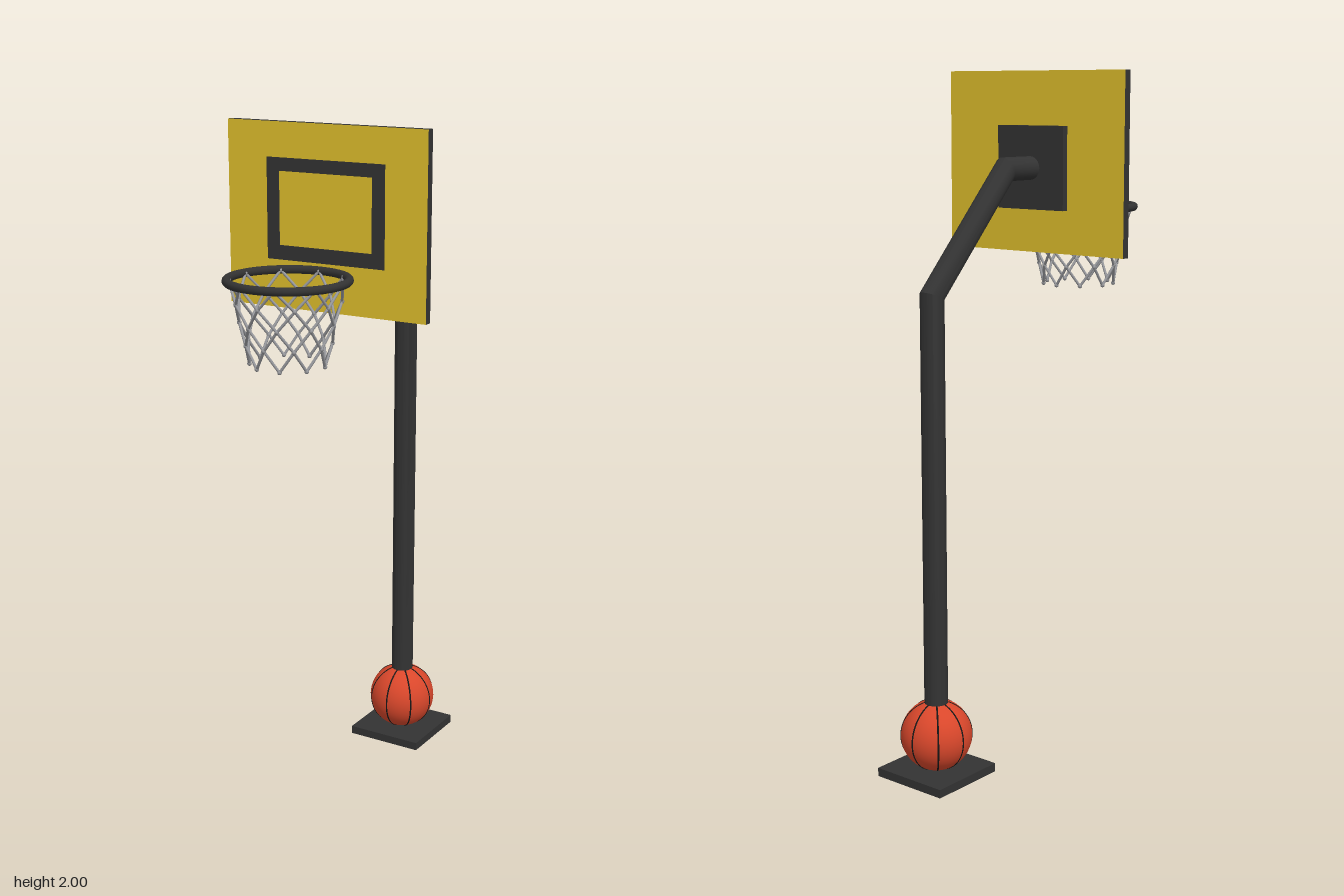
import * as THREE from 'three';
import { toCreasedNormals } from 'three/addons/utils/BufferGeometryUtils.js';

const mat = (color) => new THREE.MeshStandardMaterial({ color });

export function createModel() {
  const model = new THREE.Group();
  const dark = mat(0x333333), black = mat(0x161616), yellow = mat(0xe0c02c);
  const orange = mat(0xd9472b), cord = mat(0x999a9e);

  const add = (name, geometry, material, x = 0, y = 0, z = 0, parent = model) => {
    const mesh = new THREE.Mesh(geometry, material);
    mesh.name = name;
    mesh.position.set(x, y, z);
    parent.add(mesh);
    return mesh;
  };
  const box = (w, h, d) => new THREE.BoxGeometry(w, h, d);

  // Square foot
  add('basePlate', box(0.24, 0.025, 0.24), dark, 0, 0.0125, -0.36);

  // Ball around the foot of the pole, with four seams through its poles
  const ball = new THREE.Group();
  ball.name = 'ball';
  ball.position.set(0, 0.122, -0.36);
  model.add(ball);
  add('ballSkin', new THREE.SphereGeometry(0.103, 40, 28), orange, 0, 0, 0, ball);
  for (let i = 0; i < 4; i++) {
    const seam = add('ballSeam', new THREE.TorusGeometry(0.1015, 0.003, 8, 64), black, 0, 0, 0, ball);
    seam.rotation.y = (i * Math.PI) / 4;
  }

  // Bent pole: a cylinder whose rings are moved onto a path with mitred bends
  const path = [[0.02, -0.36], [1.392, -0.36], [1.724, -0.045], [1.724, 0.07]]; // [y, z]
  const dirs = path.slice(1).map((p, i) =>
    new THREE.Vector2(p[0] - path[i][0], p[1] - path[i][1]).normalize());
  const mitres = path.map((_, i) => {
    const a = dirs[Math.max(i - 1, 0)], b = dirs[Math.min(i, dirs.length - 1)];
    const t = a.clone().add(b).normalize();
    return new THREE.Vector2(-t.y, t.x).divideScalar(t.dot(a));
  });
  const pole = new THREE.CylinderGeometry(0.034, 0.034, 3, 24, 3);
  const pos = pole.attributes.position;
  for (let i = 0; i < pos.count; i++) {
    const row = Math.round(pos.getY(i) + 1.5), s = pos.getZ(i);
    pos.setXYZ(i, pos.getX(i), path[row][0] + mitres[row].x * s, path[row][1] + mitres[row].y * s);
  }
  add('pole', toCreasedNormals(pole, 0.5), dark);

  // Backboard: yellow faces, dark edges
  add('mountPlate', box(0.24, 0.24, 0.022), dark, 0, 1.725, 0.077);
  add('backboard', box(0.64, 0.52, 0.024), [dark, dark, dark, dark, yellow, yellow], 0, 1.74, 0.097);

  // Target frame on the board
  const frame = new THREE.Shape();
  frame.moveTo(-0.19, 1.617).lineTo(0.19, 1.617).lineTo(0.19, 1.902).lineTo(-0.19, 1.902).closePath();
  const opening = new THREE.Path();
  opening.moveTo(-0.15, 1.658).lineTo(-0.15, 1.865).lineTo(0.15, 1.865).lineTo(0.15, 1.658).closePath();
  frame.holes.push(opening);
  add('targetFrame', new THREE.ExtrudeGeometry(frame, { depth: 0.003, bevelEnabled: false }), dark, 0, 0, 0.108);

  // Hoop
  const hoop = new THREE.Group();
  hoop.name = 'hoop';
  hoop.position.set(0, 1.602, 0.3);
  model.add(hoop);
  add('rim', new THREE.TorusGeometry(0.166, 0.012, 12, 48), dark, 0, 0, 0, hoop).rotation.x = Math.PI / 2;

  // Net: diamonds of cord that narrow downwards, with a knot at each crossing
  const strands = 9, rows = 4;
  const knotAt = (row, k) => {
    const a = ((k + 0.5 + (row % 2) / 2) / strands) * Math.PI * 2;
    const r = 0.159 - (row / rows) * 0.052;
    return new THREE.Vector3(Math.sin(a) * r, -row * 0.0575, Math.cos(a) * r);
  };
  const knot = new THREE.SphereGeometry(0.0065, 8, 6);
  const up = new THREE.Vector3(0, 1, 0);
  for (let row = 0; row <= rows; row++) {
    for (let k = 0; k < strands; k++) {
      const p = knotAt(row, k);
      add('netKnot', knot, cord, p.x, p.y, p.z, hoop);
      if (row === rows) continue;
      const first = row % 2 ? k : k - 1;
      for (const next of [first, first + 1]) {
        const q = knotAt(row + 1, next), d = q.clone().sub(p), m = p.clone().add(q).multiplyScalar(0.5);
        const line = add('netCord', new THREE.CylinderGeometry(0.004, 0.004, d.length(), 8), cord, m.x, m.y, m.z, hoop);
        line.quaternion.setFromUnitVectors(up, d.normalize());
      }
    }
  }
  return model;
}
